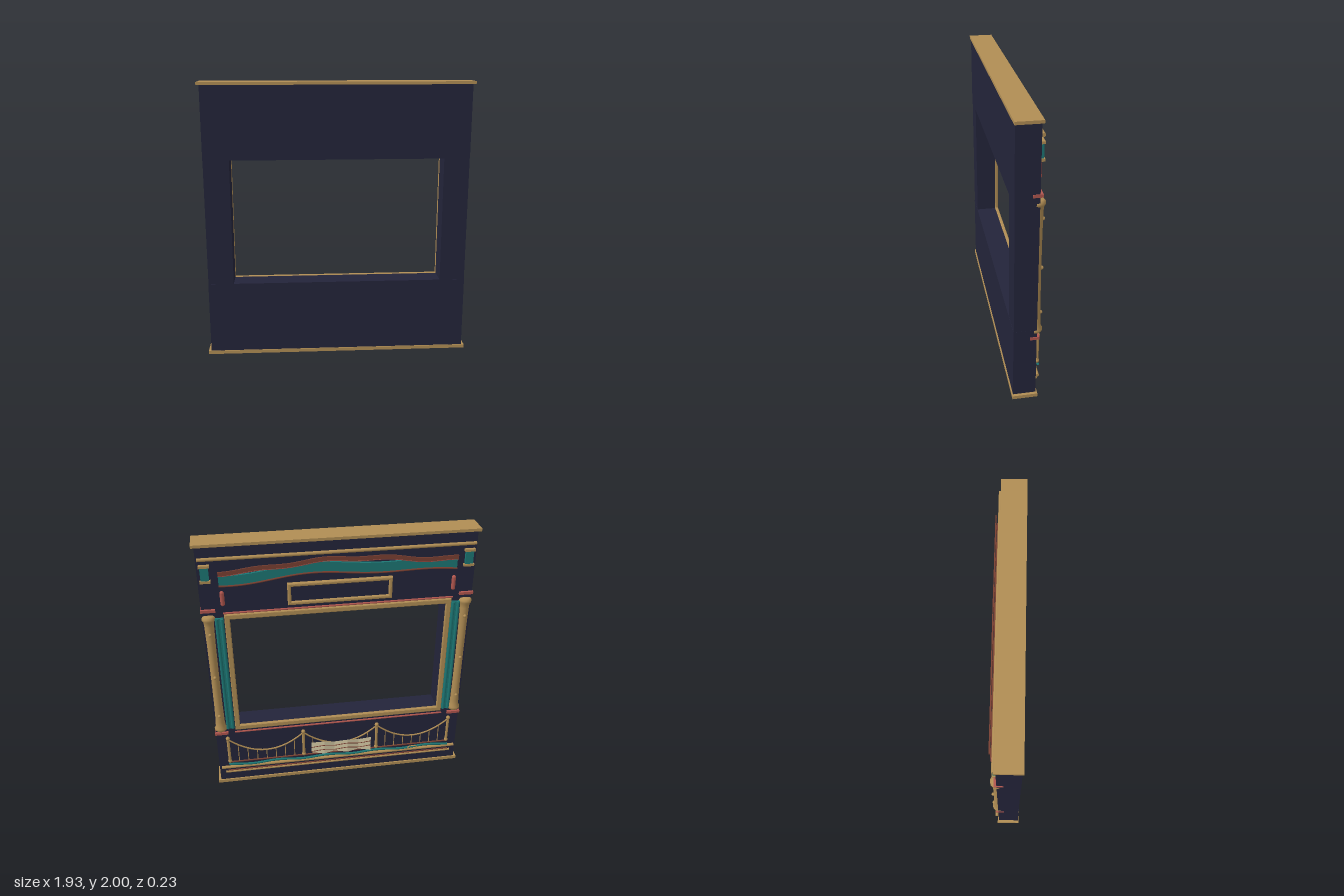
import * as THREE from 'three';

const mat = (name, color) => {
  const m = new THREE.MeshStandardMaterial({ color, side: THREE.DoubleSide });
  m.name = name;
  return m;
};

export function createModel() {
  const root = new THREE.Group();
  root.name = 'ornamentalWindowFacade';
  const navy = mat('navy', 0x23243a);
  const gold = mat('gold', 0xb08d54);
  const teal = mat('teal', 0x1c7674);
  const red = mat('coralRed', 0xb0564e);
  const brown = mat('copperBrown', 0x7a4032);
  const cream = mat('cream', 0xd8cca6);

  const add = (name, geo, material, x = 0, y = 0, z = 0) => {
    const m = new THREE.Mesh(geo, material);
    m.name = name;
    m.position.set(x, y, z);
    root.add(m);
    return m;
  };
  // Box given by its limits on each axis
  const box = (name, material, x0, x1, y0, y1, z0, z1) =>
    add(name, new THREE.BoxGeometry(x1 - x0, y1 - y0, z1 - z0), material,
      (x0 + x1) / 2, (y0 + y1) / 2, (z0 + z1) / 2);
  // Horizontal round rail along x
  const rail = (name, material, half, y, z, r) => {
    const g = new THREE.CylinderGeometry(r, r, half * 2, 10);
    g.rotateZ(Math.PI / 2);
    return add(name, g, material, 0, y, z);
  };
  // Tube following y(x) from x0 to x1
  const strand = (name, material, x0, x1, fn, z, r, n = 40) => {
    const pts = [];
    for (let i = 0; i <= n; i++) {
      const x = x0 + (x1 - x0) * i / n;
      pts.push(new THREE.Vector3(x, fn(x), z));
    }
    return add(name, new THREE.TubeGeometry(new THREE.CatmullRomCurve3(pts), n, r, 6), material);
  };
  // Flat band between two height functions
  const ribbon = (name, material, half, top, bottom, z, depth) => {
    const pts = [], n = 48;
    for (let i = 0; i <= n; i++) {
      const x = -half + 2 * half * i / n;
      pts.push(new THREE.Vector2(x, top(x)));
    }
    for (let i = n; i >= 0; i--) {
      const x = -half + 2 * half * i / n;
      pts.push(new THREE.Vector2(x, bottom(x)));
    }
    const g = new THREE.ExtrudeGeometry(new THREE.Shape(pts), { depth, bevelEnabled: false });
    return add(name, g, material, 0, 0, z);
  };
  // Rectangular frame with a hole
  const frame = (name, material, hw, y0, y1, w, z, depth, bevel) => {
    const s = new THREE.Shape([[-hw, y0], [hw, y0], [hw, y1], [-hw, y1]]
      .map(p => new THREE.Vector2(...p)));
    s.holes.push(new THREE.Path([[-hw + w, y0 + w], [-hw + w, y1 - w], [hw - w, y1 - w], [hw - w, y0 + w]]
      .map(p => new THREE.Vector2(...p))));
    const g = new THREE.ExtrudeGeometry(s, {
      depth: depth - 2 * bevel, bevelEnabled: bevel > 0,
      bevelSize: bevel, bevelThickness: bevel, bevelOffset: -bevel, bevelSegments: 2
    });
    return add(name, g, material, 0, 0, z + bevel);
  };

  // Main carcass
  box('upperPanel', navy, -0.945, 0.945, 1.46, 1.98, -0.05, 0.105);
  box('lowerPanel', navy, -0.945, 0.945, 0.025, 0.55, -0.05, 0.105);
  box('topSlab', gold, -0.965, 0.965, 1.98, 2.0, -0.06, 0.112);
  box('baseSlab', gold, -0.965, 0.965, 0, 0.025, -0.06, 0.112);

  // Frame around the opening with its trim
  frame('openingFrame', gold, 0.795, 0.517, 1.493, 0.037, -0.075, 0.027, 0.006);
  rail('upperBeading', red, 0.8, 1.507, -0.07, 0.007);
  rail('lowerBeading', red, 0.8, 0.497, -0.07, 0.007);

  // Lathe profile of the columns
  const profile = [[0, 0.51], [0.034, 0.512], [0.046, 0.525], [0.046, 0.542], [0.037, 0.56],
    [0.034, 0.6], [0.031, 0.75], [0.03, 1.0], [0.031, 1.25], [0.034, 1.41], [0.037, 1.44],
    [0.046, 1.455], [0.046, 1.472], [0.034, 1.486], [0, 1.488]].map(p => new THREE.Vector2(...p));

  for (const s of [1, -1]) {
    const sb = (name, m, c, hw, y0, y1, z0, z1) =>
      box(name, m, s * c - hw, s * c + hw, y0, y1, z0, z1);
    sb('sidePost', navy, 0.8525, 0.0915, 0.55, 1.46, -0.05, 0.103);
    add('column', new THREE.LatheGeometry(profile, 20), gold, s * 0.902, 0, -0.046);
    for (const y of [0.66, 1.0, 1.35])
      add('columnBead', new THREE.SphereGeometry(0.012, 10, 8), gold, s * 0.902, y, -0.08);
    for (const y of [0.485, 1.525])
      sb('columnPad', red, 0.9, 0.05, y - 0.01, y + 0.01, -0.068, -0.005);
    // Fluted strip beside the column
    sb('tealStrip', teal, 0.83, 0.03, 0.53, 1.465, -0.065, -0.05);
    for (const dx of [-0.018, 0.018])
      add('tealFlute', new THREE.CylinderGeometry(0.012, 0.012, 0.93, 8), teal, s * (0.83 + dx), 0.998, -0.066);
    // Corner block of the frieze
    sb('cornerBlock', teal, 0.895, 0.028, 1.75, 1.85, -0.07, -0.05);
    sb('cornerBlockCap', gold, 0.895, 0.036, 1.843, 1.86, -0.075, -0.05);
    sb('cornerBlockFoot', gold, 0.895, 0.036, 1.735, 1.752, -0.075, -0.05);
    // Small upright lantern bar
    add('uprightBar', new THREE.CapsuleGeometry(0.015, 0.08, 4, 10), red, s * 0.795, 1.62, -0.074);
  }

  // Blank plaque in the upper panel
  box('plaque', navy, -0.345, 0.345, 1.555, 1.685, -0.07, -0.05);
  frame('plaqueFrame', gold, 0.36, 1.54, 1.7, 0.024, -0.089, 0.032, 0.007);

  // Frieze with flowing bands
  rail('corniceRail', gold, 0.935, 1.9, -0.063, 0.012);
  const hill = x => 1.815 + 0.05 * Math.cos(x * 1.9) * Math.cos(x * 1.9) + 0.007 * Math.sin(x * 14);
  const river = x => 1.775 + 0.02 * Math.cos(x * 3.2) + 0.014 * Math.sin(x * 7);
  ribbon('copperBand', brown, 0.81, x => hill(x) + 0.012, x => hill(x) - 0.018, -0.095, 0.008);
  ribbon('tealBand', teal, 0.81, x => river(x) + 0.033, x => river(x) - 0.033, -0.075, 0.018);
  strand('bandTrim', brown, -0.81, 0.81, x => river(x) - 0.036, -0.082, 0.006);
  strand('bandUpperTrim', red, -0.81, 0.81, x => hill(x) - 0.018, -0.092, 0.004);

  // Suspension bridge relief
  const towers = [-0.86, -0.287, 0.287, 0.86];
  for (const x of towers) {
    add('bridgeTower', new THREE.CylinderGeometry(0.011, 0.011, 0.22, 8), gold, x, 0.33, -0.075);
    for (const y of [0.225, 0.442])
      add('towerKnob', new THREE.SphereGeometry(0.016, 10, 8), gold, x, y, -0.075);
  }
  for (let i = 0; i < 3; i++) {
    const a = towers[i], b = towers[i + 1], mid = (a + b) / 2;
    const sag = x => 0.305 + 0.13 * ((x - mid) / (b - mid)) ** 2;
    strand('bridgeCable', gold, a, b, sag, -0.078, 0.006, 20);
    for (let k = 1; k < 8; k++) {
      const x = a + (b - a) * k / 8, h = sag(x) - 0.215;
      add('bridgeHanger', new THREE.CylinderGeometry(0.0035, 0.0035, h, 5), gold, x, 0.215 + h / 2, -0.075);
    }
  }
  rail('bridgeDeck', brown, 0.87, 0.214, -0.075, 0.006);

  // River and lower mouldings
  strand('riverLine', teal, -0.87, 0.87, x => 0.19 + 0.007 * Math.sin(x * 16), -0.08, 0.009, 60);
  rail('lowerRail', gold, 0.93, 0.155, -0.064, 0.012);
  rail('footRail', gold, 0.9, 0.108, -0.062, 0.009);
  rail('footBeading', brown, 0.88, 0.128, -0.07, 0.005);
  const boat = add('smallBoat', new THREE.TorusGeometry(0.035, 0.005, 6, 18), gold, -0.58, 0.19, -0.088);
  boat.scale.y = 0.4;

  // Folded sheet, zigzag in plan with uneven edges
  const fold = [[-0.235, -0.114, 0.225, 0.355], [-0.14, -0.1, 0.24, 0.335], [-0.05, -0.114, 0.23, 0.35],
    [0.05, -0.1, 0.245, 0.335], [0.13, -0.114, 0.235, 0.355], [0.23, -0.1, 0.25, 0.345]];
  const pos = [], idx = [];
  fold.forEach(([x, z, y0, y1], i) => {
    pos.push(x, y0, z, x, y1, z);
    if (i) idx.push(2 * i - 2, 2 * i - 1, 2 * i, 2 * i, 2 * i - 1, 2 * i + 1);
  });
  let sheet = new THREE.BufferGeometry();
  sheet.setAttribute('position', new THREE.Float32BufferAttribute(pos, 3));
  sheet.setIndex(idx);
  sheet = sheet.toNonIndexed();
  sheet.computeVertexNormals();
  add('foldedSheet', sheet, cream);
  // Drawn lines following the folds
  for (const dy of [0.27, 0.31]) {
    const path = new THREE.CatmullRomCurve3(fold.map(([x, z], i) =>
      new THREE.Vector3(x, dy + (i % 2 ? -0.012 : 0.008), z - 0.002)));
    add('sheetLine', new THREE.TubeGeometry(path, 30, 0.003, 5), brown);
  }
  return root;
}
